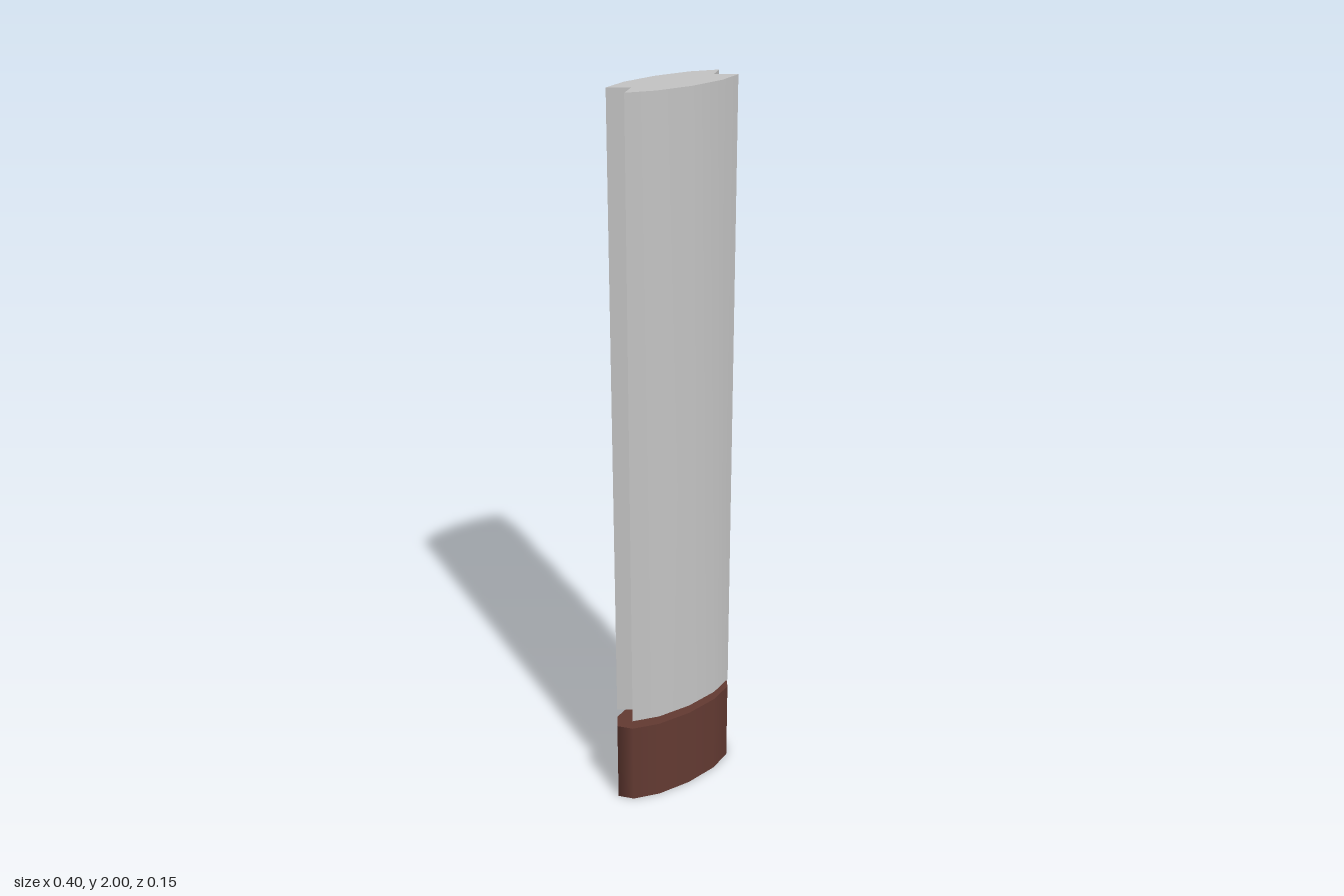
import * as THREE from 'three';
import { toCreasedNormals } from 'three/addons/utils/BufferGeometryUtils.js';

const RX = 0.198, RZ = 0.073; // half axes of the twelve-sided oval

export function createModel() {
  const model = new THREE.Group();
  const silver = new THREE.MeshStandardMaterial({ color: 0xc4c4c4 });
  silver.name = 'silver';
  const brown = new THREE.MeshStandardMaterial({ color: 0x633a32, side: THREE.DoubleSide });
  brown.name = 'brown';

  const add = (name, geometry, material, x, y, z) => {
    const mesh = new THREE.Mesh(geometry, material);
    mesh.name = name;
    mesh.position.set(x, y, z);
    model.add(mesh);
  };

  // Hollow oval socket, open underneath and closed on top
  add('baseWall', new THREE.CylinderGeometry(1, 1, 0.24, 12, 1, true).scale(RX, 1, RZ), brown, 0, 0.12, 0);
  add('baseTop', new THREE.CircleGeometry(1, 12).rotateX(-Math.PI / 2).scale(RX, 1, RZ), brown, 0, 0.24, 0);

  // Small pin joining the base to the column
  add('pin', new THREE.CylinderGeometry(0.014, 0.014, 0.03, 12), brown, -0.005, 0.25, -0.012);

  // Oval column with a V groove down each narrow side
  const outline = [];
  for (let i = 0; i < 12; i++) {
    const a = (i * Math.PI) / 6;
    const tip = i % 6 === 0;
    outline.push(new THREE.Vector2(Math.cos(a) * (tip ? 0.124 : RX), tip ? 0 : Math.sin(a) * RZ));
  }
  const column = new THREE.ExtrudeGeometry(new THREE.Shape(outline), { depth: 1.735, bevelEnabled: false });
  column.rotateX(-Math.PI / 2);
  add('column', toCreasedNormals(column, 0.6), silver, 0, 0.265, 0);

  return model;
}
